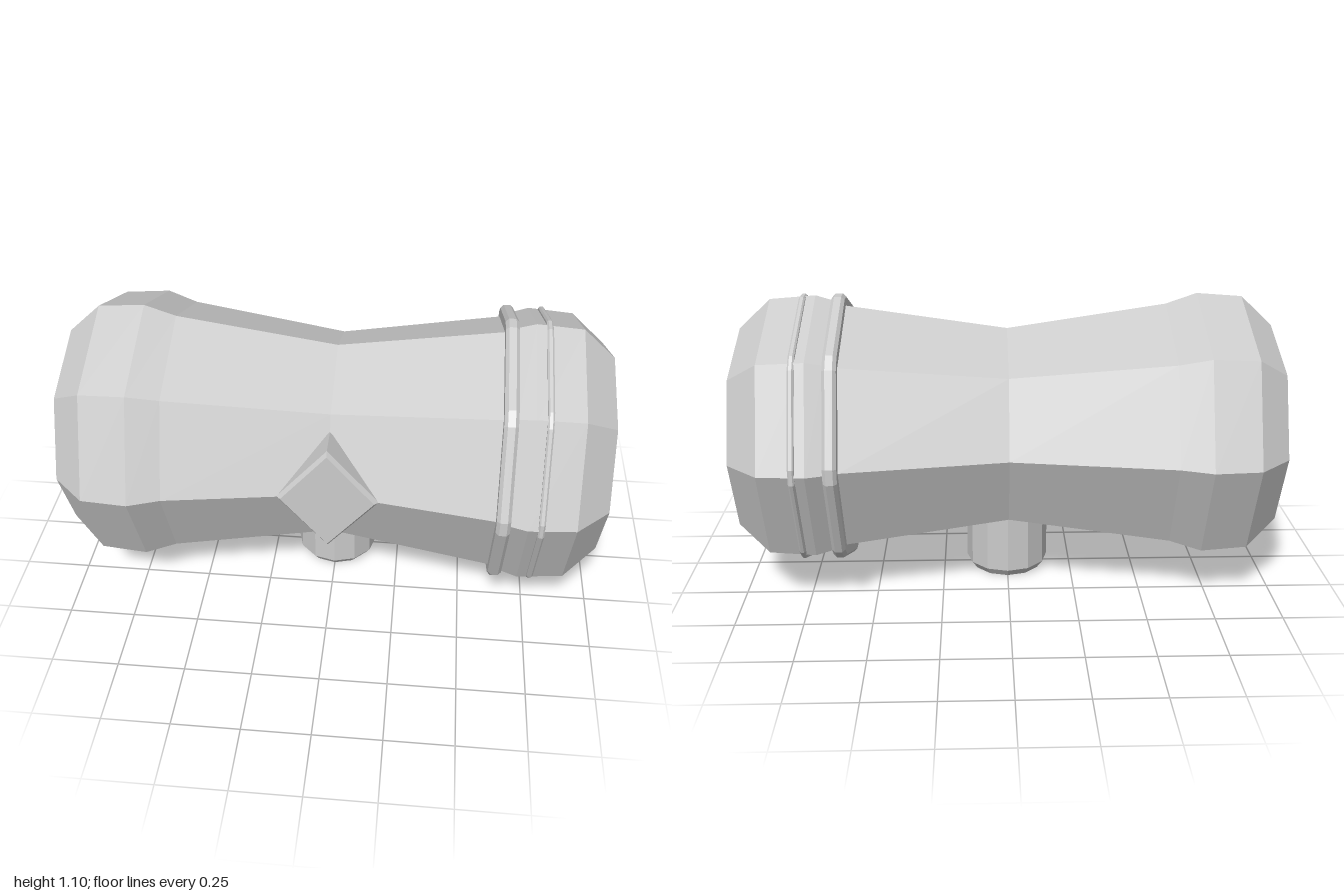
import * as THREE from 'three';

const CY = 0.58; // height of the barrel axis
const mat = new THREE.MeshStandardMaterial({ color: 0xcccccc, flatShading: true });

function add(group, name, geometry, x, y, z) {
  const mesh = new THREE.Mesh(geometry, mat);
  mesh.name = name;
  mesh.position.set(x, y, z);
  group.add(mesh);
  return mesh;
}

const lathe = (pts, sides) =>
  new THREE.LatheGeometry(pts.map(([r, y]) => new THREE.Vector2(r, y)), sides);

// Octagonal band with clipped corners and bevelled rims, running from x0 to x1
function band(x0, x1, radius, bevel) {
  const pts = [];
  const clip = 0.012;
  for (let i = 0; i < 8; i++) {
    const a = (i * Math.PI) / 4;
    const r = radius - clip;
    const w = clip * Math.tan(Math.PI * 3 / 8);
    for (const s of [-w, w]) {
      pts.push(new THREE.Vector2(
        r * Math.cos(a) - s * Math.sin(a), r * Math.sin(a) + s * Math.cos(a)));
    }
  }
  const g = new THREE.ExtrudeGeometry(new THREE.Shape(pts), {
    depth: x1 - x0 - 2 * bevel, bevelEnabled: true, bevelSegments: 1,
    bevelThickness: bevel, bevelSize: bevel, bevelOffset: -bevel,
  });
  g.translate(0, 0, x0 + bevel);
  return g.rotateY(Math.PI / 2);
}

export function createModel() {
  const model = new THREE.Group();
  model.name = 'hammerHead';

  // Waisted octagonal barrel lying along x
  const barrel = lathe([
    [0, -1], [0.395, -1], [0.507, -0.88], [0.52, -0.71], [0.48, -0.595], [0.39, 0],
    [0.48, 0.6], [0.5, 0.645], [0.52, 0.71], [0.507, 0.88], [0.395, 1], [0, 1],
  ], 8).rotateZ(-Math.PI / 2);
  add(model, 'barrel', barrel, 0, CY, 0);

  // Raised bands on the left end
  add(model, 'wideBand', band(0.6, 0.65, 0.532, 0.012), 0, CY, 0);
  add(model, 'thinBand', band(0.745, 0.768, 0.532, 0.006), 0, CY, 0);

  // Diamond plate on the front of the waist
  const diamond = new THREE.Shape([
    new THREE.Vector2(0.185, 0), new THREE.Vector2(0, 0.22),
    new THREE.Vector2(-0.185, 0), new THREE.Vector2(0, -0.22),
  ]);
  const plate = new THREE.ExtrudeGeometry(diamond, {
    depth: 0.11, bevelEnabled: true, bevelSegments: 1,
    bevelThickness: 0.015, bevelSize: 0.012, bevelOffset: -0.012,
  });
  add(model, 'diamondPlate', plate, 0, CY, 0.305);

  // Short handle stub under the waist, chamfered at its foot
  const stub = lathe([[0, 0], [0.137, 0], [0.159, 0.03], [0.159, 0.36], [0, 0.36]], 12);
  add(model, 'handleStub', stub, 0, 0, 0);

  return model;
}
